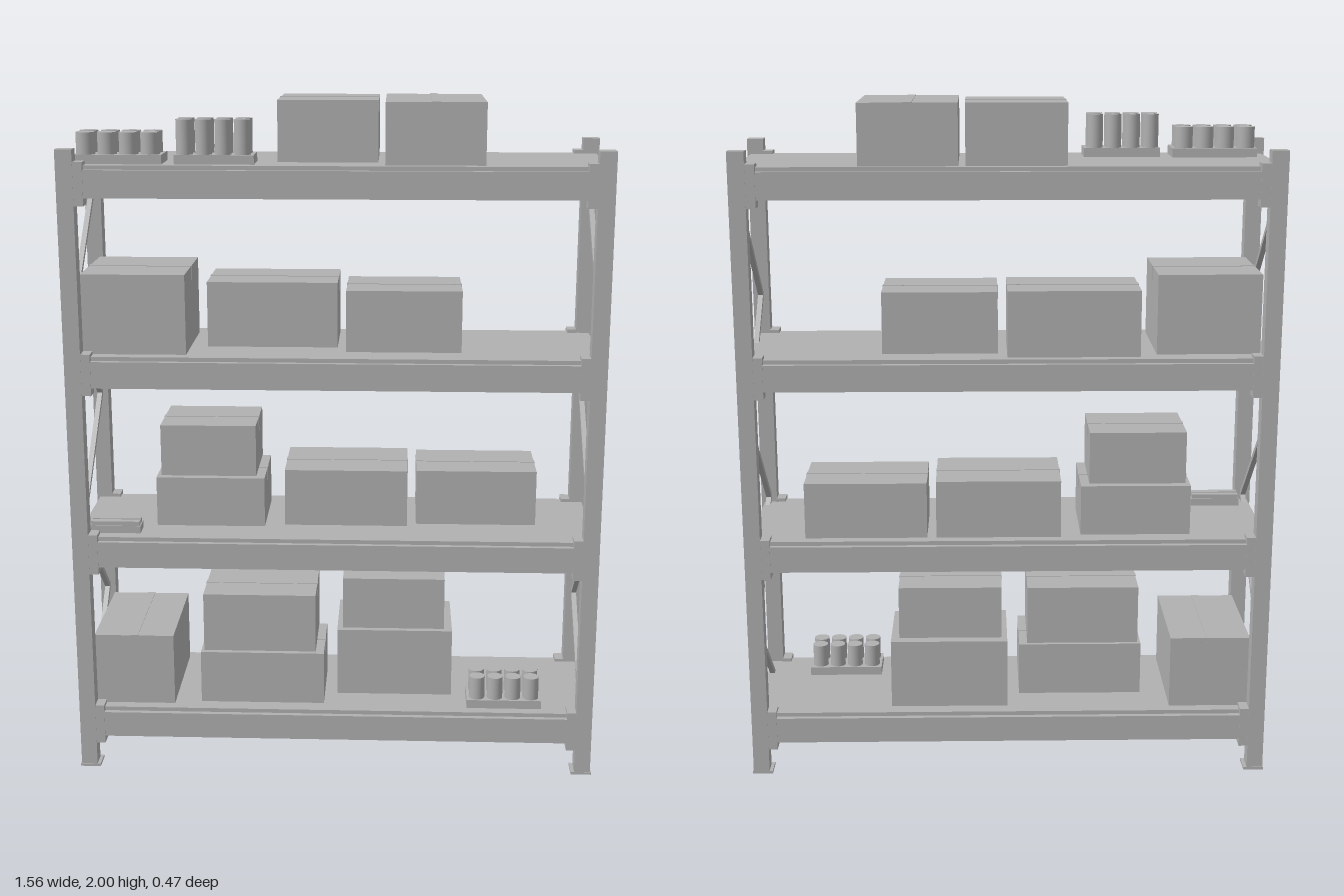
import * as THREE from 'three';

export function createModel() {
  const root = new THREE.Group();
  root.name = 'palletRack';
  const grey = new THREE.MeshStandardMaterial({ color: 0xb0b0b0 });
  grey.name = 'plainGrey';

  const add = (name, geometry, parent = root) => {
    const mesh = new THREE.Mesh(geometry, grey);
    mesh.name = name;
    parent.add(mesh);
    return mesh;
  };
  // Box given by its extents on each axis
  const block = (name, x0, x1, y0, y1, z0, z1, parent = root) => {
    const mesh = add(name, new THREE.BoxGeometry(Math.abs(x1 - x0), y1 - y0, Math.abs(z1 - z0)), parent);
    mesh.position.set((x0 + x1) / 2, (y0 + y1) / 2, (z0 + z1) / 2);
    return mesh;
  };

  const decks = [0.19, 0.735, 1.28, 1.825];
  const sides = [-1, 1];

  // Upright frames: posts, foot plates and zigzag bracing
  const zigzag = [[-0.18, 1.72], [0.18, 1.4], [-0.18, 1.08], [0.18, 0.755], [-0.18, 0.435], [0.18, 0.12]];
  for (const sx of sides) {
    const frame = new THREE.Group();
    frame.name = sx > 0 ? 'leftFrame' : 'rightFrame';
    root.add(frame);
    for (const sz of sides) {
      block('post', sx * 0.727, sx * 0.775, 0, 1.87, sz * 0.183, sz * 0.231, frame);
      block('footPlate', sx * 0.717, sx * 0.778, 0, 0.008, sz * 0.172, sz * 0.233, frame);
    }
    for (let i = 0; i < zigzag.length - 1; i++) {
      const [z0, y0] = zigzag[i], [z1, y1] = zigzag[i + 1];
      const brace = add('diagonalBrace',
        new THREE.BoxGeometry(0.015, 0.015, Math.hypot(z1 - z0, y1 - y0) + 0.012), frame);
      brace.position.set(sx * 0.751, (y0 + y1) / 2, (z0 + z1) / 2);
      brace.rotation.x = -Math.atan2(y1 - y0, z1 - z0);
    }
    block('bottomBrace', sx * 0.743, sx * 0.759, 0.057, 0.072, -0.185, 0.185, frame);
  }

  // Shelves: deck, stepped beams and end brackets
  for (const y of decks) {
    const shelf = new THREE.Group();
    shelf.name = 'shelf';
    root.add(shelf);
    block('deck', -0.765, 0.765, y - 0.018, y, -0.183, 0.183, shelf);
    for (const sz of sides) {
      block('beam', -0.727, 0.727, y - 0.09, y - 0.012, sz * 0.183, sz * 0.228, shelf);
      block('beamStep', -0.727, 0.727, y - 0.012, y, sz * 0.183, sz * 0.213, shelf);
      for (const sx of sides) {
        block('bracket', sx * 0.70, sx * 0.729, y - 0.112, y + 0.01, sz * 0.181, sz * 0.23, shelf);
      }
    }
  }

  // Cartons: [x0, x1, y0, y1, z0, z1, tape direction]
  const cartons = [
    [-0.73, -0.49, 0.19, 0.41, -0.18, 0.18, 'z'],
    [-0.41, -0.035, 0.19, 0.352, -0.08, 0.163, 'x'],
    [-0.40, -0.06, 0.355, 0.535, -0.075, 0.153, 'x'],
    [0.003, 0.355, 0.19, 0.40, -0.17, 0.087, 'z'],
    [0.02, 0.33, 0.405, 0.565, -0.15, 0.08, 'x'],
    [-0.54, -0.215, 0.735, 0.885, -0.16, 0.095, 'x'],
    [-0.525, -0.24, 0.89, 1.045, -0.15, 0.087, 'x'],
    [-0.155, 0.213, 0.735, 0.907, -0.18, 0.077, 'x'],
    [0.24, 0.60, 0.735, 0.902, -0.18, 0.054, 'x'],
    [-0.73, -0.43, 1.28, 1.512, -0.15, 0.175, 'x'],
    [-0.38, 0.003, 1.28, 1.472, -0.185, 0.058, 'x'],
    [0.03, 0.365, 1.28, 1.46, -0.13, 0.12, 'x'],
    [-0.165, 0.12, 1.825, 1.998, -0.185, 0.108, 'x'],
    [0.14, 0.42, 1.825, 1.998, -0.193, 0.185, 'z'],
  ];
  for (const [x0, x1, y0, y1, z0, z1, along] of cartons) {
    const carton = new THREE.Group();
    carton.name = 'carton';
    root.add(carton);
    block('cartonBody', x0, x1, y0, y1, z0, z1, carton);
    // Tape over the lid seam, folded a little way down both ends
    const xm = (x0 + x1) / 2, zm = (z0 + z1) / 2, w = 0.012, t = 0.0015, drop = 0.04;
    if (along === 'x') {
      block('tape', x0 - t, x1 + t, y1, y1 + t, zm - w, zm + w, carton);
      block('tapeEnd', x0 - t, x0, y1 - drop, y1, zm - w, zm + w, carton);
      block('tapeEnd', x1, x1 + t, y1 - drop, y1, zm - w, zm + w, carton);
    } else {
      block('tape', xm - w, xm + w, y1, y1 + t, z0 - t, z1 + t, carton);
      block('tapeEnd', xm - w, xm + w, y1 - drop, y1, z0 - t, z0, carton);
      block('tapeEnd', xm - w, xm + w, y1 - drop, y1, z1, z1 + t, carton);
    }
  }

  // Trays holding two rows of four cans
  const canTray = (x0, x1, z0, z1, y, top, r, firstX, pitch, rows) => {
    const tray = new THREE.Group();
    tray.name = 'canTray';
    root.add(tray);
    block('tray', x0, x1, y, y + 0.026, z0, z1, tray);
    const h = top - y - 0.005;
    for (const z of rows) {
      for (let i = 0; i < 4; i++) {
        const x = firstX + i * pitch;
        add('can', new THREE.CylinderGeometry(r, r, h, 20), tray).position.set(x, top - h / 2, z);
      }
    }
  };
  canTray(-0.733, -0.485, 0.057, 0.182, 1.825, 1.912, 0.027, -0.702, 0.0607, [0.088, 0.15]);
  canTray(-0.45, -0.226, 0.07, 0.182, 1.825, 1.948, 0.0235, -0.423, 0.0545, [0.099, 0.154]);
  canTray(0.40, 0.625, 0.07, 0.182, 0.19, 0.285, 0.0235, 0.431, 0.0545, [0.099, 0.154]);

  // Low pack near the right-hand post
  block('lowPack', -0.73, -0.58, 0.735, 0.757, 0.118, 0.175);
  for (const z of [0.132, 0.161]) {
    block('lowPackBar', -0.727, -0.583, 0.757, 0.77, z - 0.011, z + 0.011);
  }

  return root;
}
